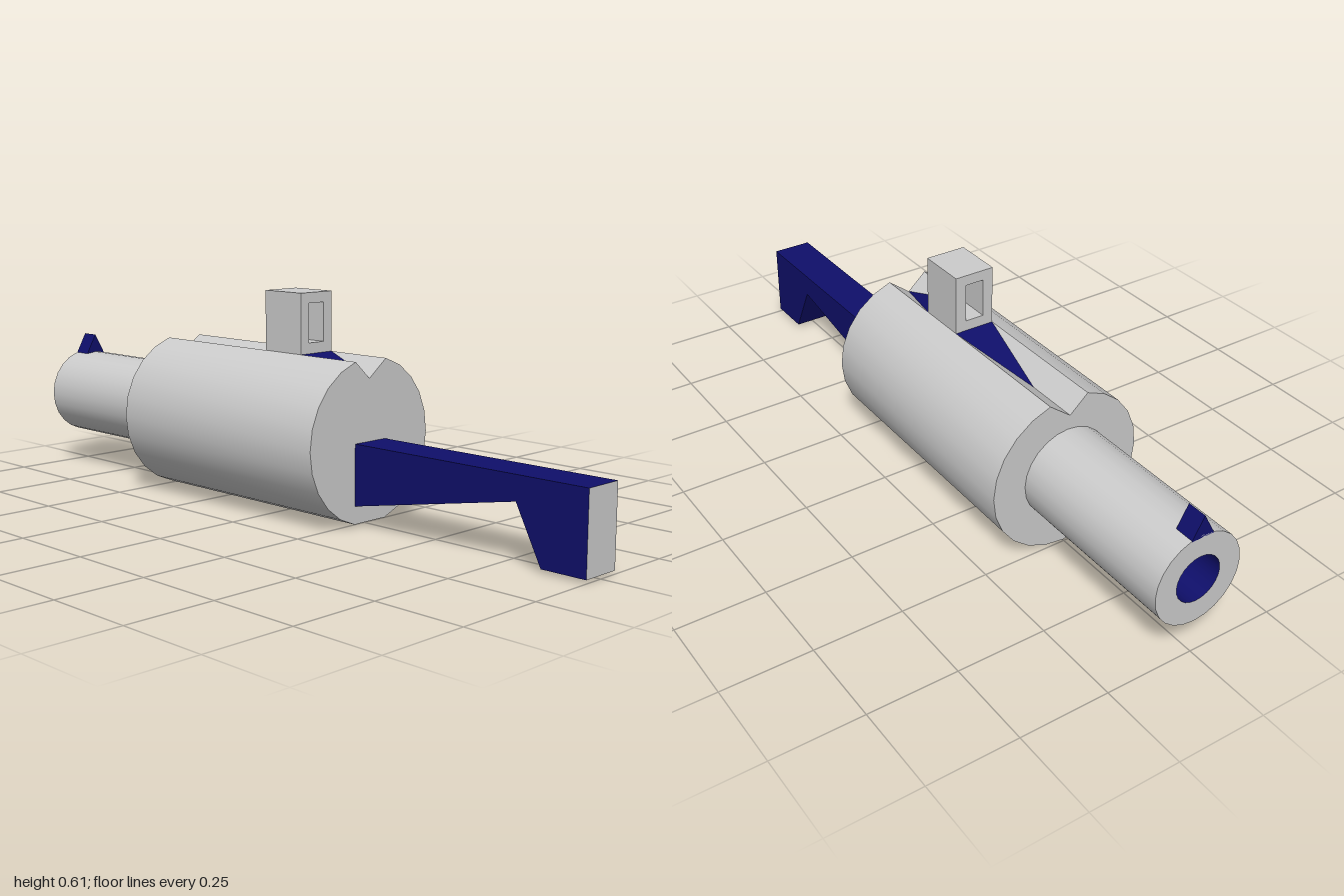
import * as THREE from 'three';
import { toCreasedNormals } from 'three/addons/utils/BufferGeometryUtils.js';

const grey = new THREE.MeshStandardMaterial({ color: 0xcccccc });
const navy = new THREE.MeshStandardMaterial({ color: 0x0f0f6b });
const navyInside = new THREE.MeshStandardMaterial({ color: 0x0f0f6b, side: THREE.DoubleSide });

const AXIS = 0.226, R = 0.225, SIDES = 24;
const FRONT = 0.27, BACK = -0.495, MUZZLE = -1;
const SEAT_FRONT = 0.067, SEAT_BACK = -0.073, HALF = 0.058;

function part(group, name, geometry, material) {
  const mesh = new THREE.Mesh(geometry, material);
  mesh.name = name;
  group.add(mesh);
  return mesh;
}

function fromTriangles(triangles) {
  const g = new THREE.BufferGeometry().setFromPoints(triangles.flat());
  g.computeVertexNormals();
  return g;
}

function extrude(shape, depth) {
  return new THREE.ExtrudeGeometry(shape, { depth, bevelEnabled: false }).translate(0, 0, -depth / 2);
}

const shapeOf = (points) => new THREE.Shape(points.map(([x, y]) => new THREE.Vector2(x, y)));

// Faceted drum with a V groove cut into its top, ramping up to a flat seat
function addBody(group) {
  const ring = (z) => Array.from({ length: SIDES }, (_, i) => {
    const a = (i / SIDES) * Math.PI * 2;
    return new THREE.Vector3(R * Math.sin(a), AXIS + R * Math.cos(a), z);
  });
  const f = ring(FRONT), b = ring(BACK);
  f[0].set(-0.005, 0.395, FRONT);
  b[0].set(-0.005, 0.395, BACK);
  f[SIDES / 2].y = 0.009;
  const cf = new THREE.Vector3(0, AXIS, FRONT), cb = new THREE.Vector3(0, AXIS, BACK);

  const tris = [];
  for (let i = 0; i < SIDES; i++) {
    const j = (i + 1) % SIDES;
    tris.push([cf, f[j], f[i]], [cb, b[i], b[j]]);
    if (i > 0 && i < SIDES - 1) tris.push([f[i], f[j], b[j]], [f[i], b[j], b[i]]);
  }

  // Groove walls and seat
  const at = (p, z) => new THREE.Vector3(p.x, p.y, z);
  const rf = f[1], lf = f[SIDES - 1], rb = b[1], lb = b[SIDES - 1];
  const rsf = at(rf, SEAT_FRONT), lsf = at(lf, SEAT_FRONT);
  const rsb = at(rf, SEAT_BACK), lsb = at(lf, SEAT_BACK);
  const low = at(b[0], -0.34);
  tris.push(
    [f[0], rf, rsf], [f[0], lsf, lf],
    [lsf, rsf, rsb], [lsf, rsb, lsb],
    [low, rsb, rb], [low, rb, b[0]], [low, lb, lsb], [low, b[0], lb]
  );
  part(group, 'body', toCreasedNormals(fromTriangles(tris), 0.45), grey);
  part(group, 'frontGrooveRamp', fromTriangles([[lsf, f[0], rsf]]), navy);
  part(group, 'rearGrooveRamp', fromTriangles([[rsb, low, lsb]]), navy);
}

// Hollow barrel with a dark bore
function addBarrel(group) {
  const length = BACK - MUZZLE, mid = (BACK + MUZZLE) / 2;
  const outer = 0.129, inner = 0.066;
  const tube = (r) => new THREE.CylinderGeometry(r, r, length, SIDES, 1, true)
    .rotateX(Math.PI / 2).translate(0, AXIS, mid);
  part(group, 'barrel', tube(outer), grey);
  part(group, 'muzzleRim', new THREE.RingGeometry(inner, outer, SIDES)
    .rotateY(Math.PI).translate(0, AXIS, MUZZLE), grey);
  part(group, 'bore', tube(inner), navyInside);
  part(group, 'boreEnd', new THREE.CircleGeometry(inner, SIDES)
    .rotateY(Math.PI).translate(0, AXIS, BACK - 0.003), navy);
}

export function createModel() {
  const model = new THREE.Group();
  model.name = 'model';
  addBody(model);
  addBarrel(model);

  // Triangular sight on the muzzle
  const sight = extrude(shapeOf([[-0.034, 0.348], [0.034, 0.348], [0, 0.41]]), 0.055);
  part(model, 'muzzleSight', sight.translate(0, 0, MUZZLE + 0.0275), navy);

  // Rear sight: upright block with a rectangular window
  const frame = shapeOf([[-HALF, 0.442], [HALF, 0.442], [HALF, 0.61], [-HALF, 0.61]]);
  frame.holes.push(new THREE.Path(
    [[-0.028, 0.473], [-0.028, 0.581], [0.027, 0.581], [0.027, 0.473]].map((p) => new THREE.Vector2(...p))
  ));
  part(model, 'windowSight', extrude(frame, SEAT_FRONT - SEAT_BACK)
    .translate(0, 0, (SEAT_FRONT + SEAT_BACK) / 2), grey);

  // Stock, with one grey slanted face (the last edge of the profile)
  const stock = extrude(shapeOf([
    [1, 0.01], [1, 0.226], [FRONT, 0.226], [FRONT, 0.058], [0.795, 0.16], [0.872, 0.01]
  ]), HALF * 2).rotateY(-Math.PI / 2);
  const { start, count } = stock.groups[1];
  stock.clearGroups();
  stock.addGroup(0, start, 0);
  stock.addGroup(start, 6, 1);
  stock.addGroup(start + 6, count - 6, 0);
  part(model, 'stock', stock, [navy, grey]);

  return model;
}
